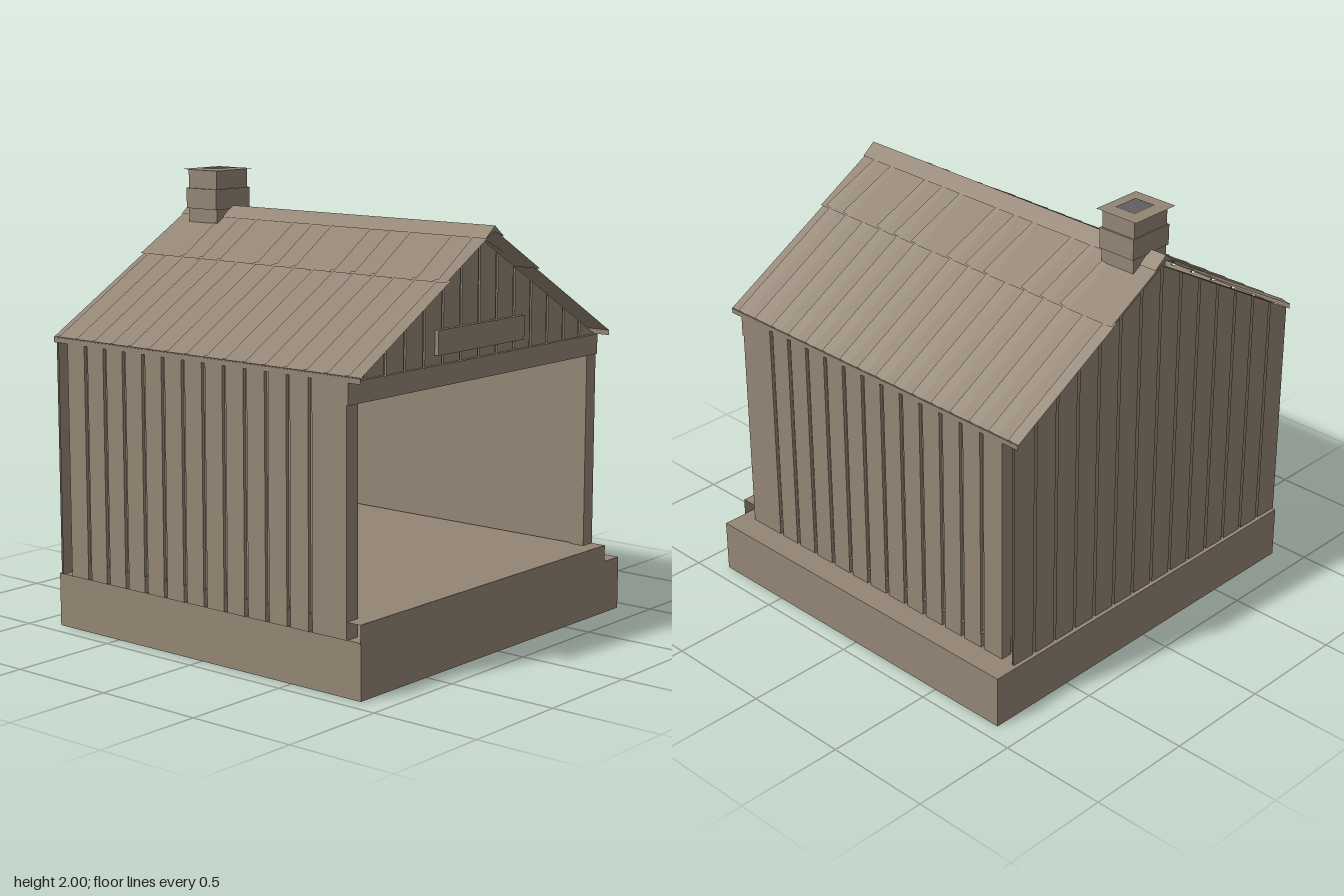
import * as THREE from 'three';

export function createModel() {
  const model = new THREE.Group();
  const wood = new THREE.MeshStandardMaterial({ color: 0x938574, flatShading: true, side: THREE.DoubleSide });
  wood.name = 'weathered brown';
  const iron = new THREE.MeshStandardMaterial({ color: 0x625f5d, flatShading: true });
  iron.name = 'dark grey';

  const add = (parent, name, geo, mat = wood) => {
    const mesh = new THREE.Mesh(geo, mat);
    mesh.name = name;
    parent.add(mesh);
    return mesh;
  };
  const group = (name, parent = model) => {
    const g = new THREE.Group();
    g.name = name;
    parent.add(g);
    return g;
  };
  // Box given by its limits on each axis
  const box = (parent, name, x0, x1, y0, y1, z0, z1) => {
    const mesh = add(parent, name, new THREE.BoxGeometry(x1 - x0, y1 - y0, z1 - z0));
    mesh.position.set((x0 + x1) / 2, (y0 + y1) / 2, (z0 + z1) / 2);
    return mesh;
  };
  // Flat sheet facing up
  const sheet = (parent, name, x0, x1, y, z0, z1, mat = wood) => {
    const geo = new THREE.PlaneGeometry(x1 - x0, z1 - z0).rotateX(-Math.PI / 2);
    const mesh = add(parent, name, geo, mat);
    mesh.position.set((x0 + x1) / 2, y, (z0 + z1) / 2);
    return mesh;
  };
  const outline = pts => new THREE.Shape(pts.map(p => new THREE.Vector2(p[0], p[1])));
  // Outline in x and y, extruded from z0 to z1
  const slab = (parent, name, pts, z0, z1, mat = wood) => {
    const geo = new THREE.ExtrudeGeometry(outline(pts), { depth: z1 - z0, bevelEnabled: false });
    return add(parent, name, geo.translate(0, 0, z0), mat);
  };
  // Outline in x and y as a single sheet facing the back
  const backSheet = (parent, name, pts, z) => {
    const geo = new THREE.ShapeGeometry(outline(pts.map(p => [-p[0], p[1]])));
    return add(parent, name, geo.rotateY(Math.PI).translate(0, 0, z));
  };

  const L = -0.93, R = 0.81, MID = -0.06, EAVE = 1.28, SLOPE = 0.575;
  const BASE = 0.24, FLOOR = 0.316, FRONT = 0.8, BACK = -0.785;
  const roofLine = x => EAVE + SLOPE * (0.87 - Math.abs(x - MID));

  // Foundation, raised floor and its front edge
  box(model, 'foundation', -0.925, 0.925, 0, BASE, -0.87, 0.87);
  sheet(model, 'floor', L, R, FLOOR, -0.76, 0.87);
  add(model, 'floorEdge', new THREE.PlaneGeometry(R - L, FLOOR - BASE + 0.005))
    .position.set(MID, (FLOOR + BASE - 0.005) / 2, 0.871);

  // Side walls: separate boards over a panel that stops at the floor
  for (const side of [-1, 1]) {
    const wall = group(side < 0 ? 'rightWall' : 'leftWall');
    const outer = side < 0 ? L : R;
    const span = (a, b) => [outer - side * a, outer - side * b].sort((p, q) => p - q);
    box(wall, 'wallPanel', ...span(0.015, 0.07), 0.32, EAVE, BACK, FRONT);
    let start = FRONT;
    for (let i = 0; i <= 12; i++) {
      const gap = 0.61 - i * 0.1164;
      const end = i < 12 ? gap + 0.01 : BACK;
      box(wall, 'wallBoard', ...span(0, 0.05), BASE, EAVE, end, start);
      start = gap - 0.01;
    }
    box(wall, 'frontPost', ...span(0, 0.07), BASE, EAVE, 0.73, FRONT);
    // Narrow strip closing the gap between wall and roof
    const eave = add(wall, 'eaveStrip', new THREE.PlaneGeometry(1.74, 0.026).rotateY(side * Math.PI / 2));
    eave.position.set(outer, EAVE + 0.013, 0);
  }

  // Gable ends: a backing panel with boards cut to the roof slope
  const gablePanel = y0 => [[L, y0], [R, y0], [R, EAVE], [MID, roofLine(MID)], [L, EAVE]];
  const pitch = (R - L) / 14;
  const gableBoards = y0 => Array.from({ length: 14 }, (_, i) => {
    const a = L + i * pitch + (i ? 0.007 : 0);
    const b = L + (i + 1) * pitch - (i < 13 ? 0.007 : 0);
    return [[a, y0], [b, y0], [b, roofLine(b)], [a, roofLine(a)]];
  });
  const backWall = group('backWall');
  slab(backWall, 'innerPanel', gablePanel(BASE), -0.776, -0.75);
  backSheet(backWall, 'outerPanel', gablePanel(BASE), -0.842);
  for (const pts of gableBoards(BASE)) backSheet(backWall, 'gableBoard', pts, -0.852);
  const frontGable = group('frontGable');
  slab(frontGable, 'gablePanel', gablePanel(1.27), 0.75, 0.784);
  for (const pts of gableBoards(1.27)) slab(frontGable, 'gableBoard', pts, 0.783, 0.792);
  box(model, 'frontBeam', L, R, 1.19, EAVE, 0.72, 0.808);
  box(model, 'blankSignBoard', -0.36, 0.24, 1.32, 1.425, 0.785, 0.812);

  // Roof: each side is built down the slope along local x
  const angle = Math.atan(SLOPE), length = 0.87 / Math.cos(angle);
  for (const side of [1, -1]) {
    const half = group(side > 0 ? 'leftRoof' : 'rightRoof');
    half.position.set(MID, roofLine(MID) + 0.02, 0);
    half.rotation.y = side > 0 ? 0 : Math.PI;
    const slope = group('roofSlope', half);
    slope.rotation.z = -angle;
    sheet(slope, 'lowerDeck', 0.34, length, 0.002, -0.87, 0.87);
    sheet(slope, 'upperDeck', 0.01, 0.372, 0.013, -0.87, 0.87);
    for (let i = 0; i < 16; i++) {
      const z = side * (0.795 - i * 0.1095);
      // Lower boards are rolled a little along their length
      const lower = sheet(slope, 'lowerShingle', 0.365, length - 0.002, 0.007, z - 0.025, z + 0.025);
      lower.rotation.x = -0.22 * side;
      // Some upper boards are skewed and rolled
      if (i % 4 !== 2 && i < 15) {
        const upper = sheet(slope, 'upperShingle', 0.06, 0.37, 0.016, z - 0.024, z + 0.024);
        upper.rotation.set(-0.2 * side, -0.1 * side, 0);
      }
    }
  }
  slab(model, 'ridgeCap', [[-0.122, 1.785], [MID, 1.81], [0.004, 1.785], [MID, 1.835]], -0.87, 0.87);

  // Chimney with collar, thin cap and dark opening
  const chimney = group('chimney');
  box(chimney, 'stack', -0.16, 0.043, 1.7, 1.995, -0.785, -0.612);
  box(chimney, 'collar', -0.17, 0.052, 1.82, 1.912, -0.79, -0.606);
  sheet(chimney, 'cap', -0.18, 0.065, 1.997, -0.81, -0.597);
  sheet(chimney, 'opening', -0.12, 0.005, 2.0, -0.75, -0.647, iron);

  // Hearth hood in the back corner, with a flue bending toward the chimney
  const hearth = group('hearth');
  slab(hearth, 'hood', [[-0.86, 0.8], [-0.385, 0.8], [-0.565, 1.0], [-0.86, 1.0]], -0.74, -0.5, iron);
  slab(hearth, 'flue', [[-0.77, 1.0], [-0.565, 1.0], [-0.565, 1.17], [0.03, 1.45], [0.03, 1.68],
    [-0.15, 1.68], [-0.15, 1.48], [-0.77, 1.17]], -0.735, -0.62);
  slab(hearth, 'hearthTray', [[-0.82, 0.54], [-0.52, 0.54], [-0.58, 0.575], [-0.755, 0.575]], -0.74, -0.55);

  return model;
}
